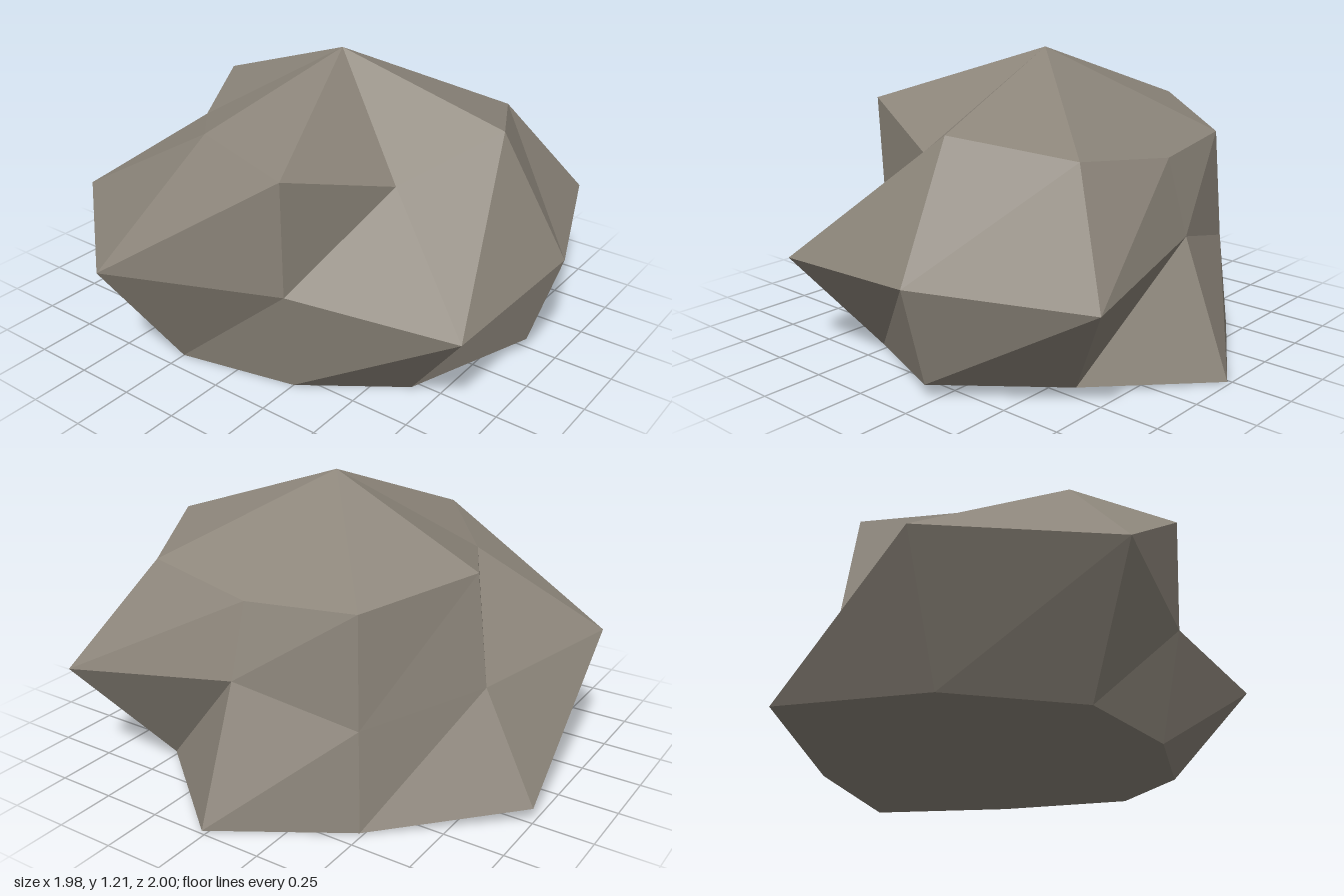
import * as THREE from 'three';

// Rings of the boulder as [radius, height], every 40 degrees from +x towards +z
const rings = [
  // shoulder
  [[0.62, 0.84], [0.74, 0.90], [0.71, 0.97], [0.52, 0.805], [0.787, 0.95], [0.64, 0.97], [0.58, 0.89], [0.73, 0.945], [0.71, 0.86]],
  // waist
  [[0.71, 0.545], [1.12, 0.47], [0.995, 0.47], [1.075, 0.42], [0.765, 0.46], [1.13, 0.50], [1.12, 0.535], [0.79, 0.495], [0.745, 0.41]],
  // foot
  [[0.92, 0.005], [0.715, 0.03], [0.87, 0.06], [0.71, 0], [0.67, 0], [0.79, 0], [0.82, 0.03], [1.035, 0.065], [0.79, 0.005]],
];
const SIDES = 9, CX = 0.07, CZ = 0.02;

function boulderGeometry() {
  const point = (ring, i) => {
    const [r, y] = rings[ring][i % SIDES];
    const a = (i % SIDES) / SIDES * Math.PI * 2;
    return [CX + r * Math.cos(a), y, CZ + r * Math.sin(a)];
  };
  const peak = [CX, 1.21, CZ], base = [CX, 0, CZ];
  const last = rings.length - 1;
  const positions = [];
  const tri = (a, b, c) => positions.push(...a, ...b, ...c);

  for (let i = 0; i < SIDES; i++) {
    tri(peak, point(0, i + 1), point(0, i)); // top fan
    for (let k = 0; k < last; k++) { // side bands
      tri(point(k, i), point(k, i + 1), point(k + 1, i + 1));
      tri(point(k, i), point(k + 1, i + 1), point(k + 1, i));
    }
    tri(base, point(last, i), point(last, i + 1)); // underside fan
  }

  // Unshared corners give each facet its own flat normal
  const geometry = new THREE.BufferGeometry();
  geometry.setAttribute('position', new THREE.Float32BufferAttribute(positions, 3));
  geometry.computeVertexNormals();
  return geometry;
}

export function createModel() {
  const group = new THREE.Group();
  group.name = 'rock';

  const stone = new THREE.MeshStandardMaterial({ color: 0x8c857a });
  stone.name = 'stone';

  const boulder = new THREE.Mesh(boulderGeometry(), stone);
  boulder.name = 'boulder';
  group.add(boulder);
  return group;
}
